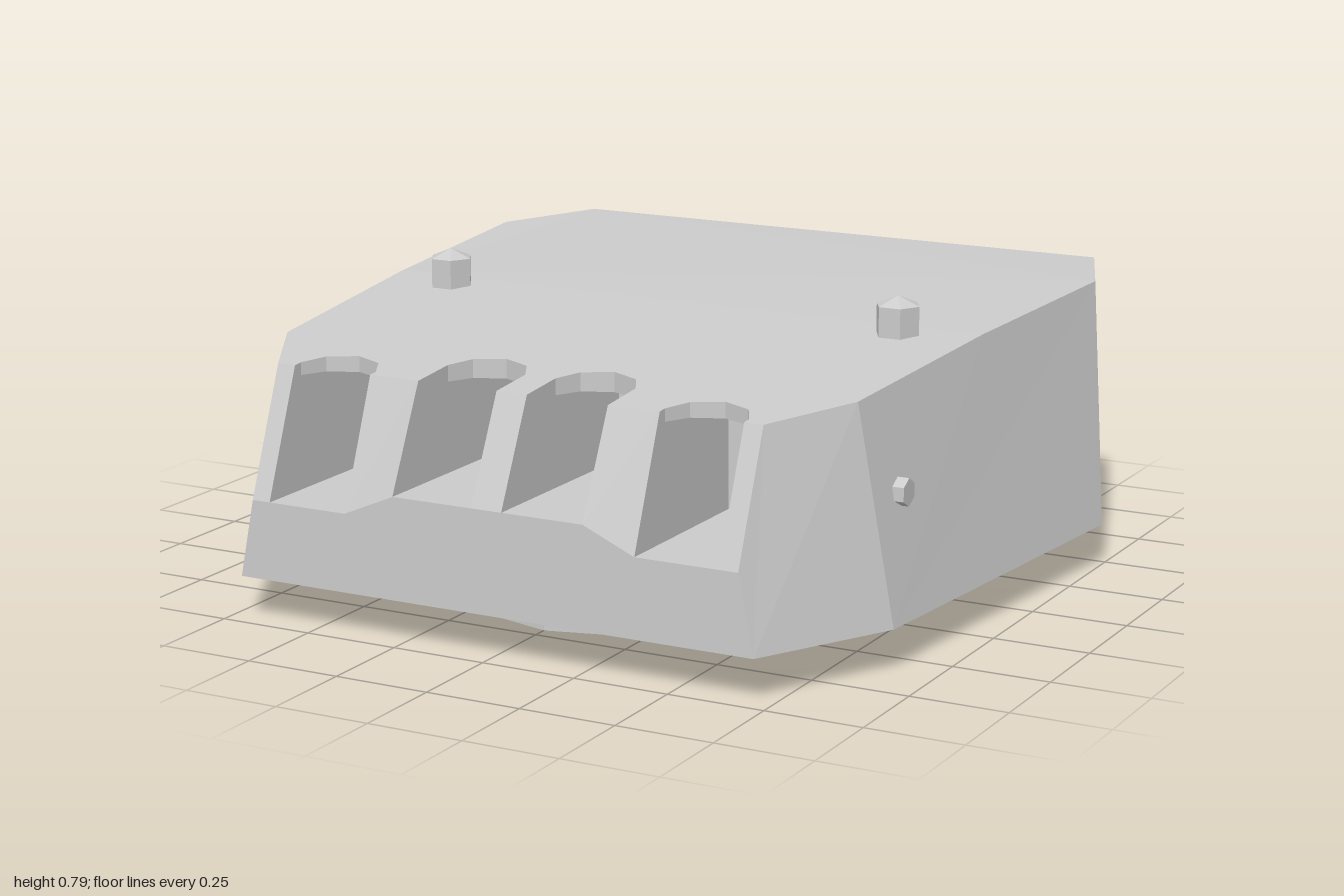
import * as THREE from 'three';

const material = new THREE.MeshStandardMaterial({ color: 0xcccccc, flatShading: true, side: THREE.DoubleSide });

// Roof height along z, by straight runs between stations
const stations = [[-0.63, 0.72], [0, 0.695], [0.62, 0.65], [0.85, 0.63]];
function roofY(z) {
  if (z <= -0.63) return 0.72;
  for (let i = 1; i < stations.length; i++) {
    const [z0, y0] = stations[i - 1], [z1, y1] = stations[i];
    if (z <= z1) return y0 + (y1 - y0) * (z - z0) / (z1 - z0);
  }
  return 0.63;
}

// Front ports: centre, floor height, depth of the recess, arch tip
const HALF = 0.11, LIP = 0.6;
const ports = [
  { x: -0.51, floor: 0.31, back: 0.5, tip: 0.73 },
  { x: -0.152, floor: 0.37, back: 0.4, tip: 0.62 },
  { x: 0.152, floor: 0.37, back: 0.4, tip: 0.62 },
  { x: 0.51, floor: 0.31, back: 0.5, tip: 0.73 },
];
const arch = p => [[-1, 0.095], [-0.7, 0.032], [0, 0], [0.7, 0.032], [1, 0.095]]
  .map(([u, d]) => [p.x + u * HALF, p.tip + d]);

export function createModel() {
  const group = new THREE.Group();

  function add(name, geometry, parent = group) {
    const mesh = new THREE.Mesh(geometry, material);
    mesh.name = name;
    parent.add(mesh);
    return mesh;
  }

  // Flat panel: a fan around its first corner
  function panel(name, pts, parent) {
    const pos = [];
    for (let i = 1; i < pts.length - 1; i++) pos.push(...pts[0], ...pts[i], ...pts[i + 1]);
    const g = new THREE.BufferGeometry();
    g.setAttribute('position', new THREE.Float32BufferAttribute(pos, 3));
    g.computeVertexNormals();
    return add(name, g, parent);
  }
  function mirroredPanel(name, pts) {
    panel(name + 'Left', pts);
    panel(name + 'Right', pts.map(([x, y, z]) => [-x, y, z]).reverse());
  }

  // Horizontal sheet from an x, z outline, lifted to a height rule
  function sheet(name, outline, height, parent) {
    const g = new THREE.ShapeGeometry(new THREE.Shape(outline.map(([x, z]) => new THREE.Vector2(x, -z))));
    const p = g.attributes.position;
    for (let i = 0; i < p.count; i++) {
      const z = -p.getY(i);
      p.setXYZ(i, p.getX(i), height(z), z);
    }
    g.computeVertexNormals();
    return add(name, g, parent);
  }

  // Roof, with the arched ports cut into its front edge
  const cuts = ports.flatMap(p => [[p.x - HALF, 0.85], ...arch(p), [p.x + HALF, 0.85]]);
  sheet('roofFront', [[-0.85, 0], [-0.8, 0.62], [-0.67, 0.85], ...cuts, [0.67, 0.85], [0.8, 0.62], [0.85, 0]], roofY);
  sheet('roofRear', [[-0.85, 0], [0.85, 0], [0.9, -0.63], [0.78, -0.93], [-0.78, -0.93], [-0.9, -0.63]], roofY);

  // Underside
  panel('underside', [[0, 0.11, 0], [0.71, 0.11, 0.975], [-0.71, 0.11, 0.975], [-0.9, 0.11, 0.62], [-1, 0.11, -0.47],
    [-0.78, 0.11, -0.975], [0.78, 0.11, -0.975], [1, 0.11, -0.47], [0.9, 0.11, 0.62], [0.71, 0.11, 0.975]]);

  // Sloping side walls
  mirroredPanel('frontCorner', [[0.71, 0.11, 0.975], [0.9, 0.11, 0.62], [0.8, 0.65, 0.62], [0.67, 0.63, 0.85], [0.67, 0.31, 0.975]]);
  mirroredPanel('sideWall', [[0.9, 0.11, 0.62], [1, 0.11, -0.47], [0.9, 0.72, -0.63], [0.85, 0.695, 0], [0.8, 0.65, 0.62]]);
  mirroredPanel('rearCorner', [[1, 0.11, -0.47], [0.78, 0.11, -0.975], [0.78, 0.32, -0.975], [0.78, 0.32, -0.93],
    [0.78, 0.72, -0.93], [0.9, 0.72, -0.63]]);

  // Stepped rear wall
  const rear = [[0.11, -0.975], [0.32, -0.975], [0.32, -0.93], [0.72, -0.93]];
  ['rearLower', 'rearStep', 'rearUpper'].forEach((name, i) => {
    const [y0, z0] = rear[i], [y1, z1] = rear[i + 1];
    panel(name, [[0.78, y0, z0], [-0.78, y0, z0], [-0.78, y1, z1], [0.78, y1, z1]]);
  });

  // Front wall and the sloping strips between the ports
  panel('frontWall', [[0, 0.11], [0.71, 0.11], [0.67, 0.31], [0.4, 0.31], [0.262, 0.37],
    [-0.262, 0.37], [-0.4, 0.31], [-0.67, 0.31], [-0.71, 0.11]].map(([x, y]) => [x, y, 0.975]));
  const strip = (x0, y0, x1, y1) => [[x0, y0, 0.975], [x1, y1, 0.975], [x1, 0.63, 0.85], [x0, 0.63, 0.85]];
  panel('frontStripCentre', strip(-0.042, 0.37, 0.042, 0.37));
  mirroredPanel('frontStripInner', strip(0.262, 0.37, 0.4, 0.31));
  mirroredPanel('frontStripOuter', strip(0.62, 0.31, 0.67, 0.31));

  // Recessed ports under an arched roof lip
  for (const p of ports) {
    const port = new THREE.Group();
    port.name = 'frontPort';
    group.add(port);
    const x0 = p.x - HALF, x1 = p.x + HALF, f = p.floor, b = p.back, edge = arch(p);
    panel('portFloor', [[x0, f, 0.975], [x1, f, 0.975], [x1, f, b], [x0, f, b]], port);
    panel('portBack', [[x0, f, b], [x1, f, b], [x1, LIP, b], [x0, LIP, b]], port);
    const side = x => [[x, f, 0.975], [x, f, b], [x, LIP, b], [x, LIP, edge[0][1]],
      [x, roofY(edge[0][1]), edge[0][1]], [x, 0.63, 0.85]];
    panel('portSide', side(x0), port);
    panel('portSide', side(x1).reverse(), port);
    sheet('portCeiling', [[x0, b], ...edge, [x1, b]], () => LIP, port);
    for (let i = 0; i < edge.length - 1; i++) {
      const [ax, az] = edge[i], [bx, bz] = edge[i + 1];
      panel('portLip', [[ax, LIP, az], [bx, LIP, bz], [bx, roofY(bz), bz], [ax, roofY(az), az]], port);
    }
  }

  for (const s of [1, -1]) {
    // Pointed hexagonal bolts on the roof
    const bolt = add('roofBolt', new THREE.CylinderGeometry(0.058, 0.058, 0.09, 6));
    bolt.position.set(s * 0.65, 0.718, 0.07);
    bolt.rotation.y = Math.PI / 6;
    const cap = add('roofBoltCap', new THREE.ConeGeometry(0.058, 0.024, 6, 1, true));
    cap.position.set(s * 0.65, 0.775, 0.07);
    cap.rotation.y = Math.PI / 6;

    // Small hexagonal studs on the sides
    const stud = add('sideStud', new THREE.CylinderGeometry(0.035, 0.035, 0.03, 6));
    stud.position.set(s * 0.865, 0.413, 0.5);
    stud.rotation.set(0, Math.PI / 2, Math.PI / 2, 'ZYX');

    // Raised plates on the rear wall
    add('rearPlate', new THREE.BoxGeometry(0.315, 0.295, 0.045)).position.set(s * 0.3, 0.478, -0.9525);
  }

  // Open turning ring below
  const ring = add('baseRing', new THREE.CylinderGeometry(0.51, 0.51, 0.11, 12, 1, true));
  ring.position.set(0, 0.055, 0.2);

  return group;
}
